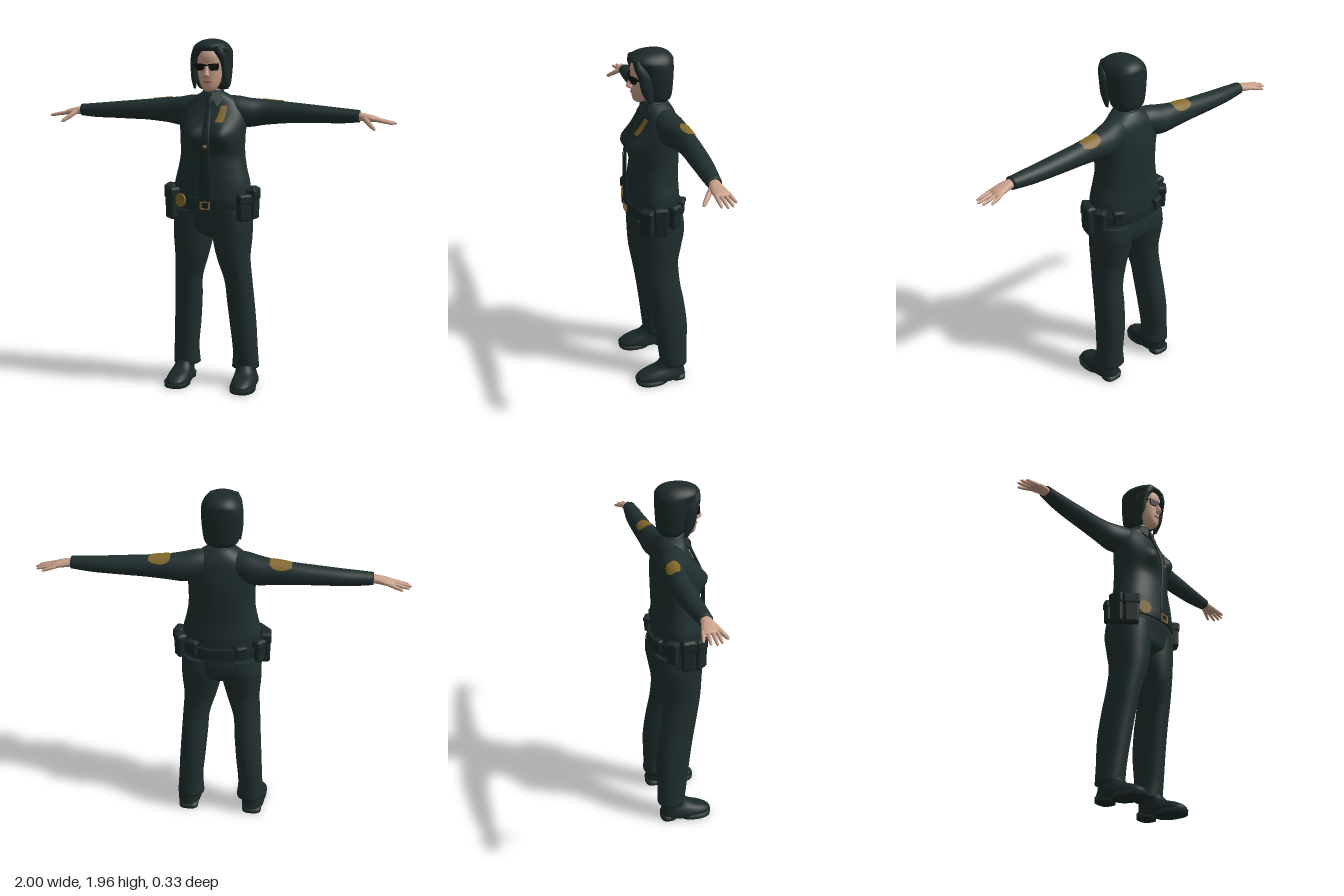
import * as THREE from 'three';
import { RoundedBoxGeometry } from 'three/addons/geometries/RoundedBoxGeometry.js';

const material = (name, color, side = THREE.FrontSide) => {
  const m = new THREE.MeshStandardMaterial({ color, side });
  m.name = name;
  return m;
};

// Catmull-Rom smoothing of rows [height, cx, cz, rx, rz]
function smooth(rows, n = 5) {
  const out = [], get = i => rows[Math.max(0, Math.min(rows.length - 1, i))];
  for (let i = 0; i < rows.length - 1; i++) {
    for (let k = 0; k < n; k++) {
      const t = k / n;
      out.push(rows[i].map((p1, c) => {
        const p0 = get(i - 1)[c], p2 = get(i + 1)[c], p3 = get(i + 2)[c];
        return 0.5 * (2 * p1 + (p2 - p0) * t + (2 * p0 - 5 * p1 + 4 * p2 - p3) * t * t
          + (3 * p1 - p0 - 3 * p2 + p3) * t * t * t);
      }));
    }
  }
  out.push(rows[rows.length - 1]);
  return out;
}

// Skin over elliptical rows; arc(u) gives an open strip instead of a closed, capped body
function loft(rows, { seg = 28, e = 1, arc = null, bump = null } = {}) {
  const pos = [], idx = [], cols = arc ? seg + 1 : seg;
  const pw = v => Math.sign(v) * Math.abs(v) ** e;
  rows.forEach(([y, cx, cz, rx, rz], i) => {
    const [a0, a1] = arc ? arc(i / (rows.length - 1)) : [0, Math.PI * 2];
    for (let j = 0; j < cols; j++) {
      const t = a0 + (a1 - a0) * j / seg;
      const x = cx + rx * pw(Math.cos(t)), z = cz + rz * pw(Math.sin(t));
      pos.push(x, y, z + (bump ? bump(x, y, Math.sin(t)) : 0));
    }
  });
  for (let i = 0; i < rows.length - 1; i++) {
    for (let j = 0; j < seg; j++) {
      const a = i * cols + j, c = i * cols + (j + 1) % cols;
      idx.push(a, a + cols, c, c, a + cols, c + cols);
    }
  }
  if (!arc) {
    const last = (rows.length - 1) * cols, mid = pos.length / 3, top = rows[rows.length - 1];
    pos.push(rows[0][1], rows[0][0], rows[0][2], top[1], top[0], top[2]);
    for (let j = 0; j < seg; j++) {
      const k = (j + 1) % seg;
      idx.push(mid, j, k, mid + 1, last + k, last + j);
    }
  }
  const g = new THREE.BufferGeometry();
  g.setAttribute('position', new THREE.Float32BufferAttribute(pos, 3));
  g.setIndex(idx);
  g.computeVertexNormals();
  return g;
}

const place = (g, x, y, z, rx = 0, ry = 0, rz = 0) => g.applyMatrix4(new THREE.Matrix4().compose(
  new THREE.Vector3(x, y, z), new THREE.Quaternion().setFromEuler(new THREE.Euler(rx, ry, rz)), new THREE.Vector3(1, 1, 1)));

// Mirror across x = 0 and restore the winding
function mirrored(g) {
  const m = g.clone().scale(-1, 1, 1);
  const src = g.index ? Array.from(g.index.array) : Array.from({ length: g.attributes.position.count }, (_, i) => i);
  for (let i = 0; i < src.length; i += 3) [src[i + 1], src[i + 2]] = [src[i + 2], src[i + 1]];
  m.setIndex(src);
  return m;
}

// Tapered rounded digit between two points
function digit(a, b, r) {
  const A = new THREE.Vector3(...a), d = new THREE.Vector3(...b).sub(A), L = d.length();
  const g = loft([[0, 0, 0, r, r], [L * 0.5, 0, 0, r * 0.9, r * 0.9], [L * 0.88, 0, 0, r * 0.7, r * 0.7],
    [L * 0.97, 0, 0, r * 0.4, r * 0.4], [L, 0, 0, r * 0.05, r * 0.05]], { seg: 10 });
  g.applyQuaternion(new THREE.Quaternion().setFromUnitVectors(new THREE.Vector3(0, 1, 0), d.normalize()));
  return g.translate(A.x, A.y, A.z);
}

const plate = (points, depth) => new THREE.ExtrudeGeometry(
  new THREE.Shape(points.map(p => new THREE.Vector2(...p))), { depth, bevelEnabled: false });

export function createModel() {
  const model = new THREE.Group();
  model.name = 'officer';
  const cloth = material('dark cloth', 0x202f2f), hairMat = material('dark hair', 0x1d2a2a);
  const leather = material('dark leather', 0x1b2828), skin = material('skin', 0xc9a08a);
  const gold = material('gold', 0x84692a, THREE.DoubleSide), bronze = material('bronze', 0x8c6a45);
  const black = material('black lens', 0x090c0d), lip = material('lips', 0x9a6a5c);

  const add = (name, g, m) => {
    const mesh = new THREE.Mesh(g, m);
    mesh.name = name;
    model.add(mesh);
  };
  const pair = (name, g, m) => {
    add('left' + name, g, m);
    add('right' + name, mirrored(g), m);
  };

  // Trousers
  pair('Leg', loft(smooth([[0.1, 0.175, -0.075, 0.077, 0.077], [0.2, 0.175, -0.068, 0.07, 0.083], [0.35, 0.164, -0.06, 0.073, 0.095],
    [0.5, 0.153, -0.04, 0.075, 0.098], [0.62, 0.145, -0.018, 0.076, 0.098], [0.75, 0.122, -0.002, 0.092, 0.108],
    [0.86, 0.113, -0.007, 0.109, 0.122], [0.95, 0.111, -0.013, 0.112, 0.132], [1.03, 0.105, -0.01, 0.11, 0.13]]), { e: 0.92 }), cloth);
  add('pelvis', loft(smooth([[0.87, 0, -0.01, 0.1, 0.07], [0.91, 0, -0.01, 0.205, 0.12], [0.97, 0, -0.013, 0.224, 0.135],
    [1.04, 0, -0.005, 0.222, 0.142], [1.1, 0, 0, 0.215, 0.142]]), { e: 0.92 }), cloth);

  // Shirt body with a bust displacement
  const torso = smooth([[1.09, 0, 0.005, 0.215, 0.138], [1.17, 0, 0.002, 0.213, 0.136], [1.25, 0, 0, 0.194, 0.13],
    [1.33, 0, -0.005, 0.181, 0.128], [1.42, 0, -0.002, 0.181, 0.134], [1.5, 0, -0.012, 0.186, 0.122], [1.56, 0, -0.022, 0.178, 0.104],
    [1.61, 0, -0.028, 0.15, 0.087], [1.645, 0, -0.022, 0.105, 0.075], [1.67, 0, -0.015, 0.062, 0.06]]);
  const bump = (x, y, s) => s <= 0 ? 0
    : 0.042 * Math.min(1, s * 1.5) * Math.exp(-(((Math.abs(x) - 0.085) / 0.055) ** 2) - ((y - 1.445) / 0.06) ** 2);
  add('shirt', loft(torso, { seg: 48, e: 0.92, bump }), cloth);

  // Sleeves, built upright then laid along x
  const sleeve = smooth([[0.05, -1.58, -0.035, 0.07, 0.065], [0.13, -1.567, -0.047, 0.083, 0.078], [0.2, -1.558, -0.06, 0.08, 0.076],
    [0.28, -1.56, -0.075, 0.07, 0.06], [0.4, -1.56, -0.081, 0.059, 0.055], [0.5, -1.557, -0.08, 0.053, 0.054],
    [0.62, -1.553, -0.078, 0.046, 0.05], [0.71, -1.55, -0.073, 0.041, 0.044], [0.8, -1.55, -0.068, 0.033, 0.037]]);
  const along = g => g.rotateZ(-Math.PI / 2);
  pair('Sleeve', along(loft(sleeve)), cloth);

  // Shoulder patches and chest badge hug the cloth beneath them
  const pad = (rows, lo, hi, d) => rows.filter(r => r[0] > lo && r[0] < hi).map(([y, cx, cz, rx, rz]) => [y, cx, cz, rx + d, rz + d]);
  pair('ShoulderPatch', along(loft(pad(sleeve, 0.245, 0.385, 0.004), {
    seg: 12, arc: u => { const w = Math.min(1, 0.55 + 1.6 * Math.min(u, 1 - u)); return [Math.PI + 0.35 - 0.65 * w, Math.PI + 0.35 + 0.7 * w]; }
  })), gold);
  add('chestBadge', loft(pad(torso, 1.505, 1.605, 0.005), {
    seg: 8, e: 0.92, bump, arc: u => [1.13 - 0.15 * u, 1.37 - 0.17 * u]
  }), gold);

  // Hands
  pair('Palm', along(loft(smooth([[0.78, -1.55, -0.068, 0.024, 0.026], [0.82, -1.546, -0.066, 0.022, 0.032],
    [0.86, -1.54, -0.068, 0.019, 0.04], [0.895, -1.535, -0.072, 0.014, 0.038], [0.91, -1.533, -0.073, 0.006, 0.03]]), { seg: 20 })), skin);
  [[-0.103, 0.955, -0.124], [-0.083, 0.99, -0.097], [-0.062, 1.0, -0.068], [-0.042, 0.985, -0.04]].forEach(([z0, x1, z1], i) =>
    pair('Finger' + (i + 1), digit([0.88, 1.536, z0], [x1, 1.515, z1], 0.0105), skin));
  pair('Thumb', digit([0.825, 1.543, -0.045], [0.895, 1.485, 0.02], 0.0145), skin);

  // Neck and face
  add('neck', loft([[1.62, 0, -0.012, 0.05, 0.05], [1.72, 0, 0.005, 0.046, 0.05]]), skin);
  add('face', loft(smooth([[1.677, 0, 0.074, 0.018, 0.02], [1.69, 0, 0.065, 0.036, 0.042], [1.72, 0, 0.045, 0.055, 0.068],
    [1.76, 0, 0.035, 0.068, 0.08], [1.81, 0, 0.03, 0.075, 0.086], [1.87, 0, 0.03, 0.075, 0.088], [1.92, 0, 0.02, 0.06, 0.07]]), { e: 0.95 }), skin);
  add('nose', loft(smooth([[1.752, 0, 0.114, 0.01, 0.008], [1.762, 0, 0.12, 0.016, 0.02], [1.772, 0, 0.12, 0.013, 0.024],
    [1.8, 0, 0.116, 0.009, 0.014], [1.825, 0, 0.112, 0.008, 0.006]]), { seg: 12 }), skin);
  add('lips', new THREE.SphereGeometry(1, 16, 8).scale(0.024, 0.008, 0.008).translate(0, 1.733, 0.111), lip);

  // Sunglasses
  const lens = plate([[-0.028, 0.016], [0.03, 0.019], [0.03, -0.006], [0.02, -0.019], [-0.012, -0.02], [-0.026, -0.006]], 0.008);
  pair('Lens', place(lens, 0.036, 1.81, 0.114, 0, 0.38), black);
  pair('GlassesArm', place(new THREE.BoxGeometry(0.006, 0.012, 0.08), 0.075, 1.82, 0.065, 0, 0.1), black);
  add('glassesBridge', new THREE.BoxGeometry(0.026, 0.008, 0.01).translate(0, 1.819, 0.124), black);

  // Bobbed hair with side locks framing the face
  add('hair', loft(smooth([[1.685, 0, -0.028, 0.074, 0.055], [1.71, 0, -0.022, 0.092, 0.077], [1.78, 0, -0.016, 0.103, 0.09],
    [1.85, 0, -0.014, 0.107, 0.095], [1.885, 0, -0.008, 0.107, 0.1], [1.908, 0, 0.009, 0.101, 0.117],
    [1.932, 0, 0.01, 0.082, 0.102], [1.95, 0, 0.006, 0.052, 0.066], [1.958, 0, 0.004, 0.015, 0.02]]), { seg: 36, e: 0.88 }), hairMat);
  pair('HairLock', loft(smooth([[1.69, 0.092, 0.035, 0.005, 0.012], [1.75, 0.089, 0.052, 0.016, 0.03], [1.83, 0.084, 0.066, 0.02, 0.034],
    [1.88, 0.067, 0.088, 0.027, 0.029], [1.922, 0.042, 0.1, 0.034, 0.018]]), { seg: 16 }), hairMat);

  // Collar and tie
  add('collarBand', loft([[1.61, 0, -0.015, 0.085, 0.075], [1.65, 0, -0.012, 0.066, 0.066], [1.682, 0, -0.01, 0.056, 0.058]]), cloth);
  const flap = plate([[0.004, 0.025], [0.012, -0.005], [0.045, -0.055], [0.075, -0.01], [0.052, 0.035]], 0.009);
  pair('CollarFlap', place(flap, 0, 1.645, 0.058, -0.5, 0.35), cloth);
  add('tie', loft(smooth([[1.07, 0, 0.154, 0.006, 0.004], [1.1, 0, 0.156, 0.036, 0.005], [1.25, 0, 0.157, 0.031, 0.006], [1.39, 0, 0.155, 0.024, 0.007],
    [1.48, 0, 0.132, 0.02, 0.008], [1.57, 0, 0.09, 0.015, 0.009], [1.61, 0, 0.074, 0.012, 0.01]]), { seg: 12, e: 0.7 }), leather);
  add('tieKnot', loft([[1.6, 0, 0.074, 0.013, 0.014], [1.625, 0, 0.068, 0.023, 0.018], [1.65, 0, 0.056, 0.018, 0.012]], { seg: 12 }), leather);
  add('tiePin', new THREE.SphereGeometry(0.011, 12, 8).translate(0, 1.385, 0.16), bronze);

  // Belt, buckle and the gear hung around it
  add('belt', loft([[1.045, 0, 0, 0.222, 0.147], [1.05, 0, 0, 0.228, 0.151], [1.1, 0, 0, 0.226, 0.15], [1.105, 0, 0, 0.219, 0.145]], { seg: 40, e: 0.95 }), leather);
  for (const s of [-1, 1]) {
    add('buckleBar', new THREE.BoxGeometry(0.056, 0.007, 0.009).translate(0, 1.063 + s * 0.019, 0.157), bronze);
    add('buckleSide', new THREE.BoxGeometry(0.008, 0.044, 0.009).translate(s * 0.024, 1.063, 0.157), bronze);
  }
  add('beltBadge', place(new THREE.CylinderGeometry(0.038, 0.038, 0.009, 24).rotateX(Math.PI / 2), -0.148, 1.083, 0.127, 0, -0.5), gold);
  // [angle, width, height, depth, centre height]
  [[34, 0.075, 0.15, 0.055, 1.05], [8, 0.07, 0.17, 0.05, 1.065], [-22, 0.06, 0.14, 0.05, 1.08], [-52, 0.06, 0.09, 0.035, 1.1],
    [150, 0.085, 0.18, 0.06, 1.06], [177, 0.075, 0.18, 0.055, 1.07], [208, 0.06, 0.13, 0.045, 1.08], [240, 0.06, 0.08, 0.03, 1.09]
  ].forEach(([deg, w, h, d, y], i) => {
    const t = deg * Math.PI / 180, x = 0.24 * Math.cos(t), z = 0.152 * Math.sin(t);
    const ry = Math.atan2(x / 0.24 ** 2, z / 0.152 ** 2);
    add('pouch' + (i + 1), place(new RoundedBoxGeometry(w, h, d, 3, 0.014), x, y, z, 0, ry), leather);
    add('pouchFlap' + (i + 1), place(new RoundedBoxGeometry(w + 0.008, h * 0.35, d + 0.01, 2, 0.012), x, y + h * 0.3, z, 0, ry), leather);
  });

  // Shoes with separate sole and heel
  pair('Shoe', loft(smooth([[0.018, 0.19, 0.008, 0.068, 0.146], [0.04, 0.19, 0.006, 0.068, 0.144], [0.065, 0.188, -0.012, 0.06, 0.122],
    [0.09, 0.183, -0.048, 0.054, 0.085], [0.14, 0.178, -0.07, 0.05, 0.06]]), { e: 0.85 }), leather);
  pair('Sole', loft([[0, 0.193, 0.06, 0.07, 0.093], [0.025, 0.193, 0.06, 0.072, 0.096]], { e: 0.85 }), leather);
  pair('Heel', loft([[0, 0.188, -0.095, 0.055, 0.044], [0.03, 0.188, -0.093, 0.057, 0.046]], { e: 0.7 }), leather);

  return model;
}
